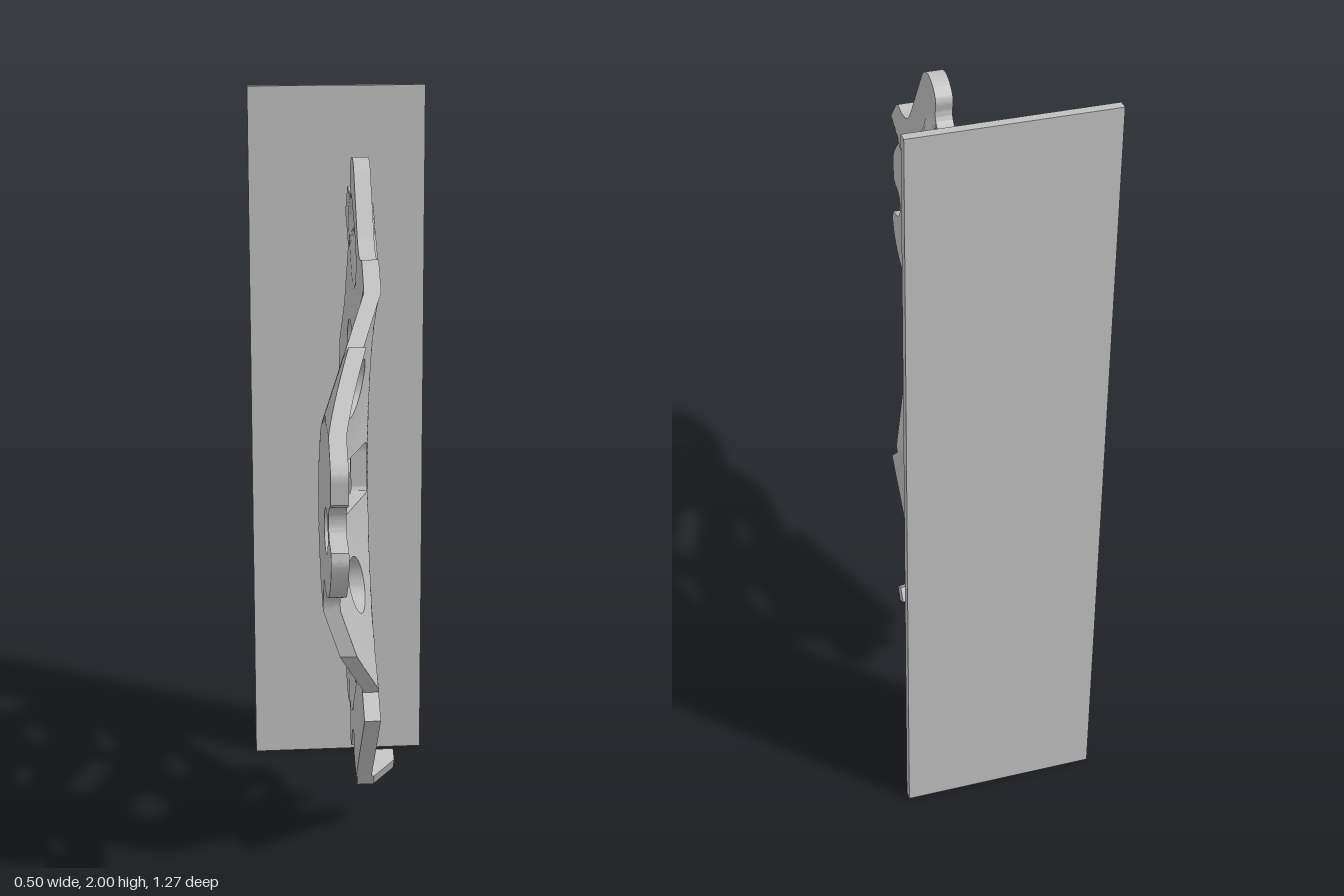
import * as THREE from 'three';
import { toCreasedNormals } from 'three/addons/utils/BufferGeometryUtils.js';

const THICK = 0.043;
const DEG = Math.PI / 180;
const DISH = { u: -0.47, y: 1.04, inner: 0.27, outer: 0.59, depth: 0.115 };
// Embossed slots: centre and slope direction (u runs towards the back)
const SLOTS = [{ u: 0.117, y: 1.648, dir: 1 }, { u: 0.117, y: 0.43, dir: -1 }];
const SLOT_HALF = 0.062, SLOT_R = 0.029;

function lines(path, pts) {
  for (const [u, y] of pts) path.lineTo(u, y);
}

// Outer profile of the plate, clockwise from the top lobe
function outline() {
  const s = new THREE.Shape();
  s.moveTo(0.07, 1.84);
  s.quadraticCurveTo(0.095, 1.865, 0.125, 1.863);
  s.quadraticCurveTo(0.16, 1.858, 0.18, 1.83);
  s.lineTo(0.184, 1.815);
  s.absarc(0.213, 1.79, 0.035, 180 * DEG, 295 * DEG, false);
  lines(s, [[0.248, 1.77], [0.262, 1.768], [0.318, 1.70], [0.312, 1.68], [0.258, 1.64],
    [0.247, 1.62], [0.25, 1.595], [0.355, 1.447], [0.375, 1.425], [0.525, 1.297], [0.532, 1.28],
    [0.547, 1.205], [0.54, 1.197], [0.45, 1.185], [0.437, 1.17], [0.443, 1.12], [0.443, 0.943],
    [0.54, 0.935], [0.552, 0.92], [0.536, 0.825], [0.525, 0.81], [0.375, 0.69], [0.35, 0.655],
    [0.25, 0.48], [0.255, 0.45], [0.312, 0.405], [0.316, 0.385], [0.308, 0.36], [0.255, 0.315],
    [0.24, 0.31]]);
  s.absarc(0.21, 0.283, 0.035, 60 * DEG, 180 * DEG, false);
  lines(s, [[0.182, 0.24], [0.18, 0.225], [0.165, 0.213], [0.145, 0.21], [0.112, 0.268],
    [0.092, 0.283], [0.07, 0.277], [0.058, 0.26], [0.062, 0.24], [0.07, 0.228], [0, 0.178],
    [-0.25, 0.445], [-0.19, 0.502], [-0.36, 0.668], [-0.36, 0.81], [-0.385, 0.865]]);
  s.absarc(-0.47, 1.04, 0.165, -60 * DEG, -168 * DEG, true);
  s.lineTo(-0.625, 1.03);
  s.absarc(-0.597, 1.086, 0.048, -90 * DEG, 90 * DEG, false);
  lines(s, [[-0.615, 1.145], [-0.62, 1.215], [-0.606, 1.24], [-0.4, 1.47], [-0.388, 1.473],
    [-0.34, 1.436], [-0.165, 1.635], [-0.15, 1.643], [-0.115, 1.636], [-0.08, 1.64],
    [-0.055, 1.655], [-0.037, 1.675]]);
  s.closePath();
  return s;
}

function circleHole(u, y, r) {
  const p = new THREE.Path();
  p.absarc(u, y, r, 0, Math.PI * 2, false);
  return p;
}

function slotHole({ u, y, dir }) {
  const p = new THREE.Path(), a = dir * 47 * DEG;
  const du = Math.cos(a) * SLOT_HALF, dy = Math.sin(a) * SLOT_HALF;
  p.absarc(u + du, y + dy, SLOT_R, a - Math.PI / 2, a + Math.PI / 2, false);
  p.absarc(u - du, y - dy, SLOT_R, a + Math.PI / 2, a + Math.PI * 1.5, false);
  p.closePath();
  return p;
}

function windowHole(u0, u1, y0, y1, r) {
  const p = new THREE.Path();
  p.absarc(u1 - r, y0 + r, r, -Math.PI / 2, 0, false);
  p.absarc(u1 - r, y1 - r, r, 0, Math.PI / 2, false);
  p.absarc(u0 + r, y1 - r, r, Math.PI / 2, Math.PI, false);
  p.absarc(u0 + r, y0 + r, r, Math.PI, Math.PI * 1.5, false);
  p.closePath();
  return p;
}

// Sideways offset of the pressed sheet: conical dish plus raised slot rims
function press(u, y) {
  const r = Math.hypot(u - DISH.u, y - DISH.y);
  let x = -DISH.depth * (1 - THREE.MathUtils.clamp((r - DISH.inner) / (DISH.outer - DISH.inner), 0, 1));
  for (const s of SLOTS) {
    const a = s.dir * 47 * DEG, c = Math.cos(a), n = Math.sin(a);
    const along = (u - s.u) * c + (y - s.y) * n;
    const d = Math.hypot(u - s.u - c * THREE.MathUtils.clamp(along, -SLOT_HALF, SLOT_HALF),
      y - s.y - n * THREE.MathUtils.clamp(along, -SLOT_HALF, SLOT_HALF));
    x += 0.016 * (1 - THREE.MathUtils.smoothstep(d, 0.04, 0.07));
  }
  return x;
}

// Halve the longest edge of every triangle until all edges are short
function subdivide(geometry, maxEdge) {
  const src = geometry.index ? geometry.toNonIndexed() : geometry;
  const pos = src.attributes.position, out = [], stack = [];
  const pt = i => new THREE.Vector3().fromBufferAttribute(pos, i);
  for (let i = 0; i < pos.count; i += 3) stack.push([pt(i), pt(i + 1), pt(i + 2)]);
  while (stack.length) {
    const t = stack.pop();
    const len = [0, 1, 2].map(i => t[i].distanceTo(t[(i + 1) % 3]));
    const k = len.indexOf(Math.max(...len));
    if (len[k] <= maxEdge) {
      for (const v of t) out.push(v.x, v.y, v.z);
      continue;
    }
    const a = t[k], b = t[(k + 1) % 3], c = t[(k + 2) % 3];
    const m = a.clone().add(b).multiplyScalar(0.5);
    stack.push([a, m, c], [m, b, c]);
  }
  const g = new THREE.BufferGeometry();
  g.setAttribute('position', new THREE.Float32BufferAttribute(out, 3));
  return g;
}

function plateGeometry() {
  const shape = outline();
  shape.holes.push(
    circleHole(-0.107, 1.303, 0.075), circleHole(-0.107, 0.773, 0.075),
    circleHole(0.19, 1.346, 0.076), circleHole(0.19, 0.73, 0.076),
    circleHole(0.257, 1.038, 0.076), circleHole(-0.47, 1.038, 0.057),
    windowHole(-0.11, 0.105, 0.965, 1.107, 0.017), ...SLOTS.map(slotHole));
  const flat = new THREE.ExtrudeGeometry(shape, { depth: THICK, bevelEnabled: false, curveSegments: 16 });
  const g = subdivide(flat, 0.024);
  const p = g.attributes.position;
  for (let i = 0; i < p.count; i++) p.setZ(i, p.getZ(i) + press(p.getX(i), p.getY(i)));
  g.rotateY(Math.PI / 2);
  return toCreasedNormals(g, 0.6);
}

// Folded tab at the lower tip, with a slanted end
function hookGeometry() {
  const s = new THREE.Shape();
  s.moveTo(0, 0.005);
  lines(s, [[0.086, 0.005], [0.086, 0.11], [0.05, 0.11], [0, 0.05]]);
  s.closePath();
  const g = new THREE.ExtrudeGeometry(s, { depth: 0.042, bevelEnabled: false });
  const basis = new THREE.Matrix4().makeBasis(
    new THREE.Vector3(0, 0.58, -0.815), new THREE.Vector3(1, 0, 0), new THREE.Vector3(0, -0.815, -0.58));
  basis.setPosition(0, 0.178, 0);
  return g.applyMatrix4(basis);
}

export function createModel() {
  const model = new THREE.Group();
  model.name = 'bracketAssembly';
  const steel = new THREE.MeshStandardMaterial({ color: 0xbfbfbf });
  steel.name = 'grey steel';
  const add = (name, geometry) => {
    const mesh = new THREE.Mesh(geometry, steel);
    mesh.name = name;
    model.add(mesh);
    return mesh;
  };
  add('pressedPlate', plateGeometry());
  add('hookTab', hookGeometry());
  add('backPanel', new THREE.BoxGeometry(0.5, 2, 0.024)).position.set(0, 1, -0.625);
  return model;
}
